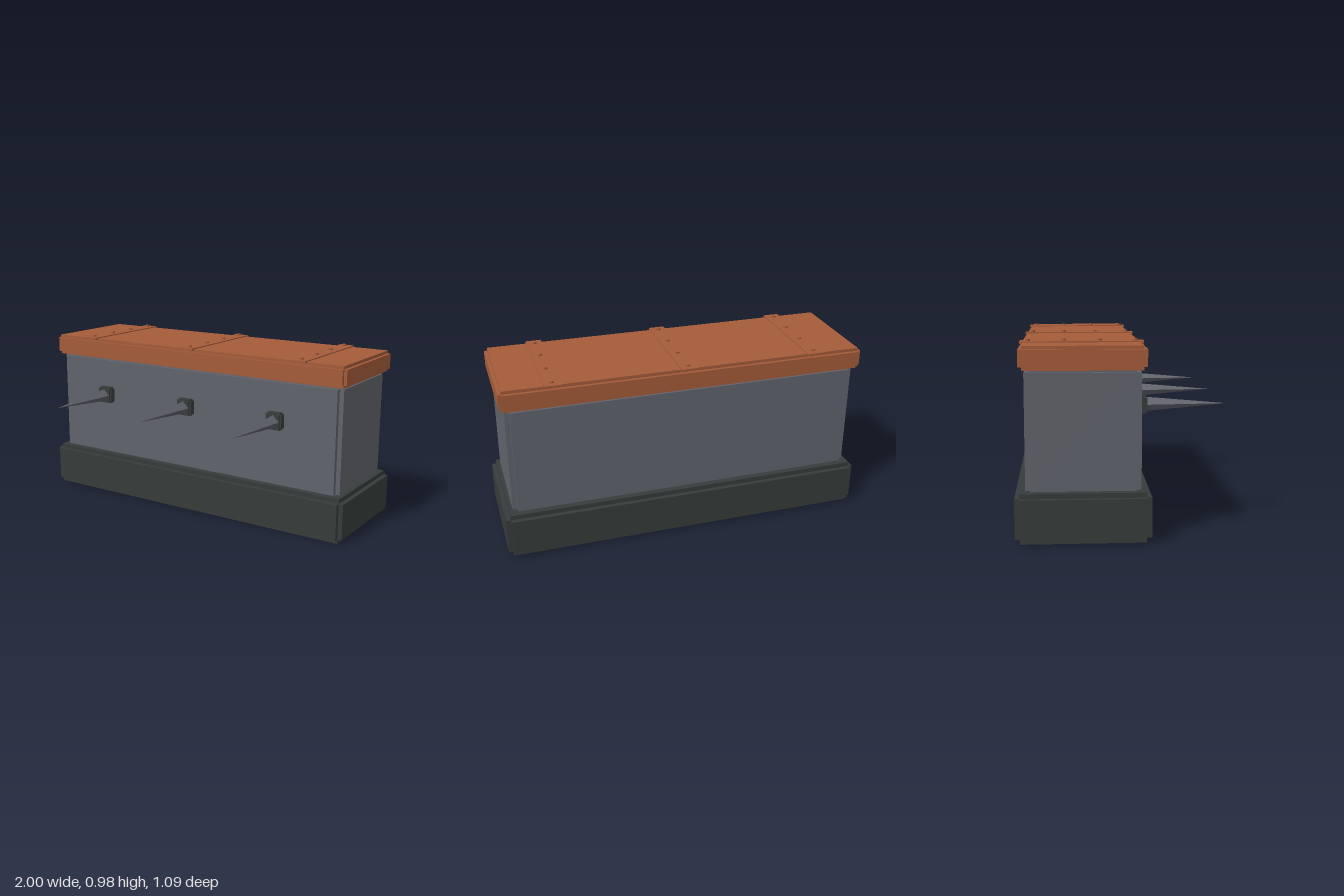
import * as THREE from 'three';
import { mergeGeometries } from 'three/addons/utils/BufferGeometryUtils.js';

const material = (name, color) => {
  const m = new THREE.MeshStandardMaterial({ color });
  m.name = name;
  return m;
};

// Box whose edges are notched by a step: three overlapping slabs, one full length per axis
function steppedBox([x0, x1], [y0, y1], [z0, z1], step) {
  const size = [x1 - x0, y1 - y0, z1 - z0];
  const slabs = [0, 1, 2].map((axis) =>
    new THREE.BoxGeometry(...size.map((s, i) => (i === axis ? s : s - 2 * step))));
  return mergeGeometries(slabs).translate((x0 + x1) / 2, (y0 + y1) / 2, (z0 + z1) / 2);
}

export function createModel() {
  const model = new THREE.Group();
  model.name = 'spikedChest';
  const darkStone = material('dark stone', 0x363c3b);
  const greyStone = material('grey stone', 0x60636b);
  const rust = material('rust orange', 0xa55b39);

  const add = (name, geometry, mat, parent = model) => {
    const mesh = new THREE.Mesh(geometry, mat);
    mesh.name = name;
    parent.add(mesh);
    return mesh;
  };

  // Plinth, body and lid
  add('base', steppedBox([-1, 1], [0, 0.25], [-0.545, 0.121], 0.025), darkStone);
  add('body', steppedBox([-0.956, 0.956], [0.23, 0.855], [-0.493, 0.072], 0.025), greyStone);
  add('lid', steppedBox([-0.983, 0.983], [0.841, 0.959], [-0.519, 0.097], 0.017), rust);

  // Straps across the lid, each with four rivets
  for (const x of [-0.71, 0, 0.71]) {
    const strap = new THREE.Group();
    strap.name = 'strap';
    strap.position.x = x;
    model.add(strap);
    add('strapPlate', new THREE.BoxGeometry(0.086, 0.012, 0.616), rust, strap)
      .position.set(0, 0.959, -0.211);
    for (const z of [0.055, -0.122, -0.3, -0.478]) {
      add('rivet', new THREE.CylinderGeometry(0.012, 0.012, 0.02, 12), rust, strap)
        .position.set(0, 0.965, z);
    }
  }

  // Four-sided spikes on square mounts along the front
  const cone = new THREE.ConeGeometry(0.037, 0.42, 4).toNonIndexed();
  cone.computeVertexNormals();
  cone.rotateX(Math.PI / 2);
  const mount = steppedBox([-0.048, 0.048], [-0.048, 0.048], [0.079, 0.128], 0.0095);
  for (const x of [-0.585, 0, 0.585]) {
    const spike = new THREE.Group();
    spike.name = 'spike';
    spike.position.set(x, 0.625, 0);
    model.add(spike);
    add('spikeMount', mount, darkStone, spike);
    add('spikePoint', cone, greyStone, spike).position.z = 0.335;
  }
  return model;
}
